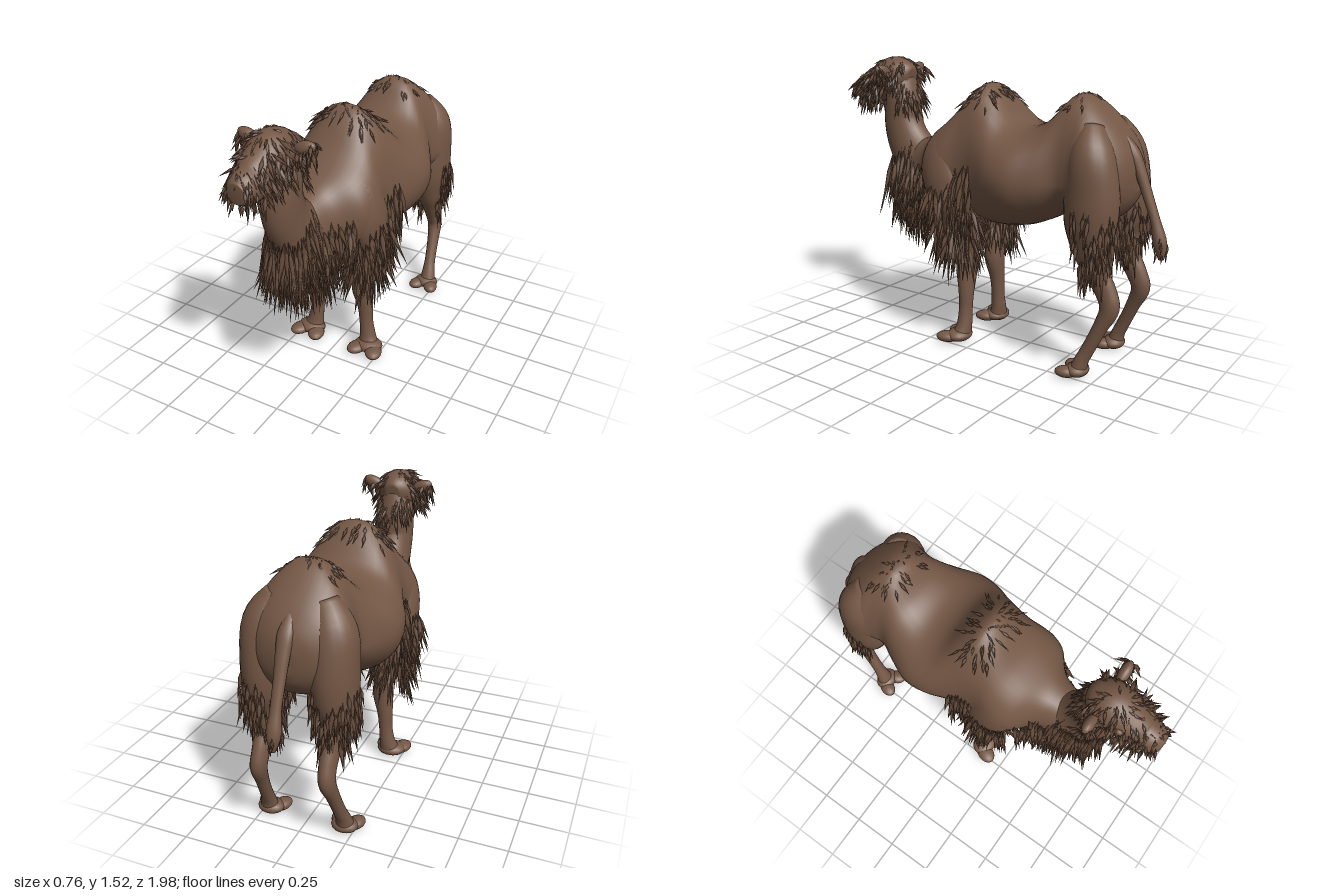
import * as THREE from 'three';
import { mergeGeometries } from 'three/addons/utils/BufferGeometryUtils.js';

const V2 = (x, y) => new THREE.Vector2(x, y);
const V3 = (x, y, z) => new THREE.Vector3(x, y, z);
let seed = 7;
const rnd = (a = 0, b = 1) => {
  seed = (seed * 16807) % 2147483647;
  return a + (b - a) * (seed / 2147483647);
};

// Smooth interpolation through rows of numbers, t from 0 to 1
function sample(rows, t) {
  const n = rows.length - 1, f = THREE.MathUtils.clamp(t, 0, 1) * n;
  const i = Math.min(Math.floor(f), n - 1), k = f - i;
  const row = (j) => rows[THREE.MathUtils.clamp(j, 0, n)];
  const [p, q, r, s] = [row(i - 1), row(i), row(i + 1), row(i + 2)];
  return q.map((_, c) => {
    const m0 = (r[c] - p[c]) / 2, m1 = (s[c] - q[c]) / 2, d = q[c] - r[c];
    return q[c] + k * (m0 + k * (-3 * d - 2 * m0 - m1 + k * (2 * d + m0 + m1)));
  });
}

// Limb surface: rows are [x, y, z, half width, half depth] along a path
function limb(rows) {
  return (u, v) => {
    const [x, y, z, a, b] = sample(rows, u);
    const p = sample(rows, u - 0.02), q = sample(rows, u + 0.02);
    const t = V3(q[0] - p[0], q[1] - p[1], q[2] - p[2]).normalize();
    const side = V3(1, 0, 0).addScaledVector(t, -t.x).normalize();
    const up = t.clone().cross(side), w = v * Math.PI * 2;
    return V3(x, y, z).addScaledVector(side, a * Math.cos(w)).addScaledVector(up, b * Math.sin(w));
  };
}

// Torso surface: rows are [z, top, bottom, half width, height of widest line]
function torso(rows) {
  return (u, v) => {
    const [z, top, bottom, w, mid] = sample(rows, u);
    const s = Math.sin(v * Math.PI * 2), c = Math.cos(v * Math.PI * 2);
    const pinch = 1 - Math.max(0, top - 1.2) * 0.7 * s * s;
    const x = s > 0 ? Math.sign(c) * Math.abs(c) ** 0.85 * pinch : c;
    return V3(w * x, mid + s * (s > 0 ? top - mid : mid - bottom), z);
  };
}

// Closed smooth skin over a surface function
function loft(at, nu, nv) {
  const pos = [], idx = [];
  for (let i = 0; i <= nu; i++)
    for (let j = 0; j < nv; j++) pos.push(...at(i / nu, j / nv).toArray());
  for (let i = 0; i < nu; i++)
    for (let j = 0; j < nv; j++) {
      const a = i * nv + j, b = i * nv + (j + 1) % nv;
      idx.push(a, b, a + nv, b, b + nv, a + nv);
    }
  for (const [u, base, flip] of [[0, 0, false], [1, nu * nv, true]]) {
    const mid = at(u, 0).add(at(u, 0.5)).multiplyScalar(0.5);
    const m = pos.push(...mid.toArray()) / 3 - 1;
    for (let j = 0; j < nv; j++) {
      const a = base + j, b = base + (j + 1) % nv;
      idx.push(m, flip ? a : b, flip ? b : a);
    }
  }
  const g = new THREE.BufferGeometry();
  g.setAttribute('position', new THREE.Float32BufferAttribute(pos, 3));
  g.setIndex(idx);
  g.computeVertexNormals();
  return g;
}

// Spindle-shaped strands rooted on a surface, hanging down and pushed outward
function strands(at, count, [u0, u1], [v0, v1], [l0, l1], out, radius, jitter = 0.2) {
  const list = [];
  for (let i = 0; i < count; i++) {
    const u = rnd(u0, u1), v = rnd(v0, v1), p = at(u, v);
    const n = at(u, v + 0.01).sub(at(u, v - 0.01))
      .cross(at(Math.min(u + 0.01, 1), v).sub(at(Math.max(u - 0.01, 0), v))).normalize();
    const dir = V3(rnd(-jitter, jitter), -1 + rnd(-jitter, jitter), rnd(-jitter, jitter))
      .addScaledVector(n, out).normalize();
    const len = rnd(l0, l1), r = radius * rnd(0.7, 1.2);
    const g = new THREE.LatheGeometry([V2(0, -0.01), V2(r, len * 0.3), V2(0, len)], 5);
    g.applyQuaternion(new THREE.Quaternion().setFromUnitVectors(V3(0, 1, 0), dir));
    list.push(g.translate(p.x, p.y, p.z));
  }
  return mergeGeometries(list);
}

export function createModel() {
  const hide = new THREE.MeshStandardMaterial({ color: 0x745745 });
  hide.name = 'brown hide';
  const wool = new THREE.MeshStandardMaterial({ color: 0x694e3d, side: THREE.DoubleSide });
  wool.name = 'shaggy wool';
  const model = new THREE.Group();
  model.name = 'camel';
  const add = (name, geometry, material = hide) => {
    const m = new THREE.Mesh(geometry, material);
    m.name = name;
    model.add(m);
    return m;
  };
  const ball = (name, p, s) => {
    const m = add(name, new THREE.SphereGeometry(1, 18, 12));
    m.position.set(...p);
    m.scale.set(...s);
    return m;
  };

  // Torso with two humps and a rounded rump
  const body = torso([
    [-0.84, 1.05, 0.93, 0.05, 1.0], [-0.815, 1.13, 0.86, 0.145, 0.99], [-0.75, 1.225, 0.79, 0.235, 0.98],
    [-0.65, 1.325, 0.78, 0.28, 0.97], [-0.57, 1.378, 0.8, 0.255, 0.96], [-0.5, 1.365, 0.79, 0.25, 0.96],
    [-0.4, 1.255, 0.735, 0.3, 0.96], [-0.29, 1.21, 0.69, 0.345, 0.96], [-0.18, 1.24, 0.67, 0.338, 0.96],
    [-0.08, 1.35, 0.665, 0.3, 0.95], [0, 1.405, 0.67, 0.272, 0.95], [0.08, 1.355, 0.675, 0.265, 0.95],
    [0.18, 1.24, 0.685, 0.28, 0.95], [0.28, 1.16, 0.7, 0.255, 0.94], [0.37, 1.1, 0.72, 0.155, 0.92],
    [0.48, 1.06, 0.73, 0.115, 0.9], [0.58, 1, 0.76, 0.09, 0.88], [0.64, 0.92, 0.81, 0.03, 0.87],
  ]);
  add('body', loft(body, 85, 40));

  // Neck and head
  const neck = limb([
    [0, 0.86, 0.34, 0.13, 0.14], [0, 0.93, 0.49, 0.115, 0.15], [0, 1.04, 0.58, 0.1, 0.133],
    [0, 1.16, 0.62, 0.1, 0.112], [0, 1.28, 0.615, 0.1, 0.1], [0, 1.4, 0.63, 0.08, 0.08],
  ]);
  add('neck', loft(neck, 30, 28));
  const head = limb([
    [0, 1.4, 0.55, 0.04, 0.05], [0, 1.405, 0.59, 0.09, 0.09], [0, 1.4, 0.67, 0.112, 0.115],
    [0, 1.37, 0.76, 0.1, 0.1], [0, 1.335, 0.83, 0.085, 0.093], [0, 1.325, 0.9, 0.076, 0.08],
    [0, 1.32, 0.945, 0.045, 0.05],
  ]);
  add('head', loft(head, 36, 28));

  // Tail with a small tuft
  const tail = limb([
    [0, 1.2, -0.74, 0.02, 0.02], [0, 1.12, -0.805, 0.04, 0.03], [0, 1.04, -0.845, 0.036, 0.028],
    [0, 0.92, -0.89, 0.03, 0.025], [0, 0.8, -0.935, 0.028, 0.024], [0, 0.69, -0.965, 0.036, 0.034],
    [0, 0.61, -0.975, 0.012, 0.014],
  ]);
  add('tail', loft(tail, 36, 14));
  add('tailTuft', strands(tail, 14, [0.8, 0.95], [0, 1], [0.04, 0.06], 0.1, 0.007), wool);

  for (const s of [1, -1]) {
    const side = s > 0 ? 'left' : 'right';
    const mirror = (rows) => rows.map(([x, ...rest]) => [x * s, ...rest]);

    // Legs, tapering into the torso at shoulder and hip
    const frontLeg = limb(mirror([
      [0.09, 1.18, 0.17, 0.03, 0.04], [0.16, 1.07, 0.175, 0.085, 0.1], [0.2, 0.93, 0.17, 0.092, 0.135],
      [0.2, 0.78, 0.12, 0.085, 0.13], [0.165, 0.62, 0.1, 0.07, 0.085], [0.14, 0.48, 0.08, 0.055, 0.06],
      [0.135, 0.39, 0.08, 0.058, 0.056], [0.15, 0.28, 0.073, 0.044, 0.042], [0.157, 0.18, 0.073, 0.038, 0.037],
      [0.168, 0.09, 0.075, 0.045, 0.042], [0.178, 0.035, 0.085, 0.06, 0.05],
    ]));
    const hindLeg = limb(mirror([
      [0.11, 1.23, -0.65, 0.07, 0.06], [0.165, 1.1, -0.675, 0.112, 0.115], [0.175, 0.92, -0.685, 0.115, 0.138],
      [0.178, 0.77, -0.685, 0.106, 0.13], [0.182, 0.65, -0.69, 0.075, 0.09], [0.178, 0.55, -0.725, 0.05, 0.063],
      [0.175, 0.46, -0.775, 0.043, 0.055], [0.18, 0.38, -0.8, 0.041, 0.05], [0.19, 0.28, -0.76, 0.034, 0.037],
      [0.2, 0.16, -0.705, 0.032, 0.034], [0.207, 0.09, -0.672, 0.04, 0.036], [0.21, 0.035, -0.655, 0.05, 0.045],
    ]));
    add(side + 'FrontLeg', loft(frontLeg, 50, 22));
    add(side + 'HindLeg', loft(hindLeg, 55, 22));

    // Broad, flat two-toed feet
    for (const [name, x, z, k] of [['Front', 0.185, 0.115, 1], ['Hind', 0.205, -0.63, 0.88]]) {
      ball(side + name + 'FootPad', [x * s, 0.037, z - 0.02], [0.08 * k, 0.036, 0.065 * k]);
      for (const t of [-1, 1]) {
        const toe = ball(side + name + 'Toe', [(x + t * 0.05 * k) * s, 0.03, z + 0.022 * k],
          [0.047 * k, 0.029, 0.066 * k]);
        toe.rotation.y = t * s * 0.4;
      }
    }

    // Ears and eyes
    const ear = ball(side + 'Ear', [0.145 * s, 1.44, 0.635], [0.06, 0.034, 0.028]);
    ear.rotation.z = s * 0.35;
    ball(side + 'Eye', [0.095 * s, 1.41, 0.755], [0.016, 0.02, 0.022]);
    const earSurface = limb([[0.1 * s, 1.42, 0.635, 0.02, 0.02], [0.2 * s, 1.455, 0.635, 0.02, 0.02]]);
    add(side + 'EarTuft', strands(earSurface, 26, [0.2, 0.95], [0, 1], [0.06, 0.11], 0.5, 0.009, 0.5), wool);

    // Fringe hanging beside the brow and cheek
    const cheek = s > 0 ? [-0.08, 0.17] : [0.33, 0.58];
    add(side + 'Fringe', strands(head, 70, [0.15, 0.72], cheek, [0.07, 0.13], 0.5, 0.01, 0.35), wool);

    // Long wool on the upper legs, hind wool only behind and beside the thigh
    add(side + 'FrontLegWool', strands(frontLeg, 210, [0.23, 0.43], [0, 1], [0.15, 0.27], 0.2, 0.013), wool);
    const flank = s > 0 ? [-0.06, 0.02] : [0.48, 0.56];
    add(side + 'FlankWool', strands(body, 50, [0.55, 0.64], flank, [0.16, 0.28], 0.15, 0.013, 0.12), wool);
    add(side + 'HindLegWool', strands(hindLeg, 110, [0.22, 0.44], [0.42, 1.08], [0.1, 0.18], 0.12, 0.011, 0.14), wool);
  }

  // Chest curtain
  add('chestWool', strands(neck, 300, [0.06, 0.38], [0.4, 1.1], [0.24, 0.36], 0.12, 0.014, 0.15), wool);
  add('breastWool', strands(body, 240, [0.78, 0.97], [0.46, 1.04], [0.15, 0.24], 0.2, 0.014), wool);

  // Shaggy crown, jaw beard, muzzle and nape
  add('crownWool', strands(head, 35, [0.15, 0.6], [0.12, 0.38], [0.05, 0.09], 0.8, 0.008, 0.25), wool);
  add('jawWool', strands(head, 30, [0.5, 0.85], [0.56, 0.94], [0.04, 0.08], 0.3, 0.009, 0.3), wool);
  add('muzzleWool', strands(head, 50, [0.75, 0.98], [0, 1], [0.05, 0.09], 0.5, 0.008, 0.3), wool);
  add('napeWool', strands(neck, 45, [0.78, 0.95], [0.05, 0.45], [0.08, 0.13], 0.4, 0.01), wool);

  // Short tufts lying on the humps
  add('frontHumpWool', strands(body, 55, [0.53, 0.65], [0.14, 0.36], [0.05, 0.1], 0.75, 0.008, 0.2), wool);
  add('rearHumpWool', strands(body, 30, [0.2, 0.31], [0.17, 0.33], [0.04, 0.08], 0.75, 0.008, 0.2), wool);
  return model;
}
